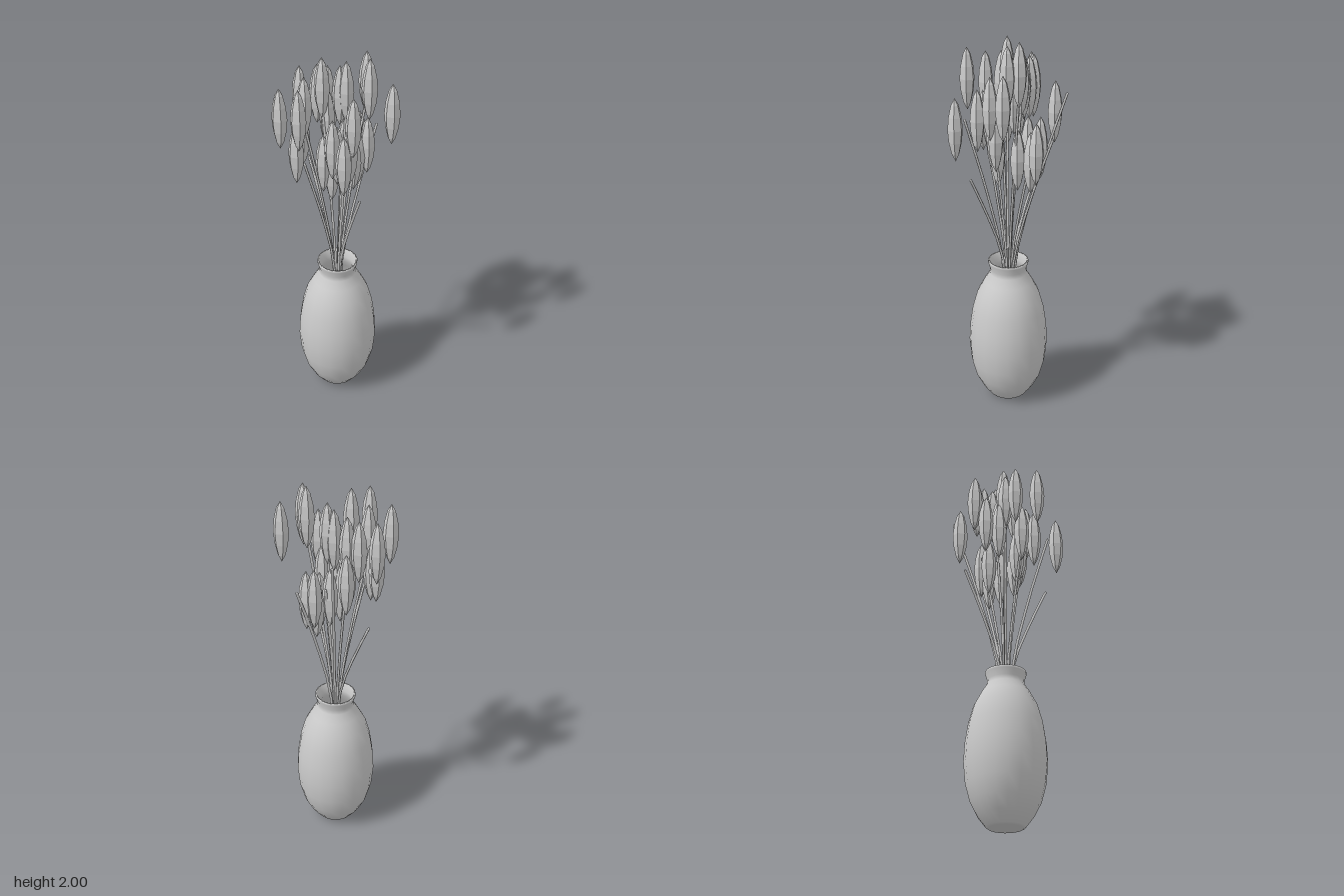
import * as THREE from 'three';

const CX = 0.012, CZ = 0.002; // vase axis

export function createModel() {
  const model = new THREE.Group();
  const smooth = new THREE.MeshStandardMaterial({ color: 0xcccccc, side: THREE.DoubleSide });
  const faceted = new THREE.MeshStandardMaterial({ color: 0xcccccc, flatShading: true });

  const add = (geometry, material, name, parent = model) => {
    const mesh = new THREE.Mesh(geometry, material);
    mesh.name = name;
    parent.add(mesh);
    return mesh;
  };

  // Hollow vase: outer wall upward, over the lip, inner wall downward
  const profile = [
    [0, 0], [0.085, 0], [0.098, 0.008], [0.138, 0.06], [0.174, 0.13], [0.198, 0.22],
    [0.208, 0.33], [0.202, 0.43], [0.187, 0.53], [0.162, 0.62], [0.125, 0.69],
    [0.097, 0.735], [0.094, 0.76], [0.105, 0.795], [0.105, 0.807], [0.097, 0.807],
    [0.086, 0.765], [0.088, 0.735], [0.116, 0.685], [0.152, 0.615], [0.177, 0.53],
    [0.198, 0.33], [0.165, 0.14], [0.09, 0.02], [0, 0.02],
  ].map(([r, y]) => new THREE.Vector2(r, y));
  const vase = add(new THREE.LatheGeometry(profile, 20), smooth, 'vase');
  vase.position.set(CX, 0, CZ);

  // Thin stalks fanning out of the mouth: tip x, y, z
  const stalks = new THREE.Group();
  stalks.name = 'stalks';
  model.add(stalks);
  const tips = [
    [0.04, 1.32, -0.245], [0.23, 1.70, -0.185], [0.275, 1.52, 0.003],
    [-0.107, 1.60, 0.195], [-0.05, 1.31, 0.225], [0.14, 1.50, -0.055],
    [-0.165, 1.45, -0.042], [-0.11, 1.62, -0.10], [-0.038, 1.72, -0.055],
    [0.082, 1.70, -0.014], [0.13, 1.75, 0.075], [0, 1.55, 0.11],
  ];
  for (const [x, y, z] of tips) {
    const at = (f, h) => new THREE.Vector3(CX + (x - CX) * f, h, CZ + (z - CZ) * f);
    const path = new THREE.CatmullRomCurve3([
      at(0.02, 0.03), at(0.13, 0.8), at(0.5, 0.8 + (y - 0.8) * 0.5), at(1, y),
    ]);
    add(new THREE.TubeGeometry(path, 10, 0.007, 5, false), smooth, 'stalk', stalks);
    // Small closing cap on the tip
    const cap = add(new THREE.SphereGeometry(0.007, 5, 4), smooth, 'stalkTip', stalks);
    cap.position.set(x, y, z);
  }

  // Six-sided spindle-shaped seed heads, hung from their top point
  const headProfile = [
    [0, -0.325], [0.02, -0.285], [0.034, -0.225], [0.04, -0.16],
    [0.034, -0.095], [0.02, -0.035], [0, 0],
  ].map(([r, y]) => new THREE.Vector2(r, y));
  const headGeometry = new THREE.LatheGeometry(headProfile, 6).rotateY(Math.PI / 6);
  const heads = new THREE.Group();
  heads.name = 'seedHeads';
  model.add(heads);

  // x, top y, z of each head, grouped from back to front
  const back = [
    [-0.022, 1.86, -0.236], [-0.067, 1.73, -0.196], [0.037, 1.87, -0.175],
    [0.151, 1.75, -0.2], [-0.235, 1.85, -0.136], [-0.097, 1.70, -0.134],
    [-0.11, 1.88, -0.102], [0.054, 1.88, -0.116], [-0.197, 1.67, -0.064],
  ];
  const middle = [
    [-0.038, 1.975, -0.055], [0, 1.80, -0.06], [-0.24, 1.90, 0.007],
    [0.187, 1.62, -0.025], [0.195, 1.60, 0.021], [0.07, 1.90, -0.045],
    [0.098, 1.60, -0.045], [0.082, 1.93, -0.014], [-0.08, 1.60, 0],
    [-0.04, 1.54, 0.018], [0.147, 1.54, 0],
  ];
  const front = [
    [-0.038, 1.65, 0.054], [-0.108, 1.73, 0.096], [0.006, 1.65, 0.095],
    [-0.004, 1.82, 0.129], [0.092, 1.55, 0.032], [0.13, 2.0, 0.075],
    [0.099, 1.99, 0.129], [-0.149, 1.71, 0.218], [0.151, 1.88, 0.23],
  ];
  for (const position of [...back, ...middle, ...front]) {
    add(headGeometry, faceted, 'seedHead', heads).position.set(...position);
  }

  return model;
}
